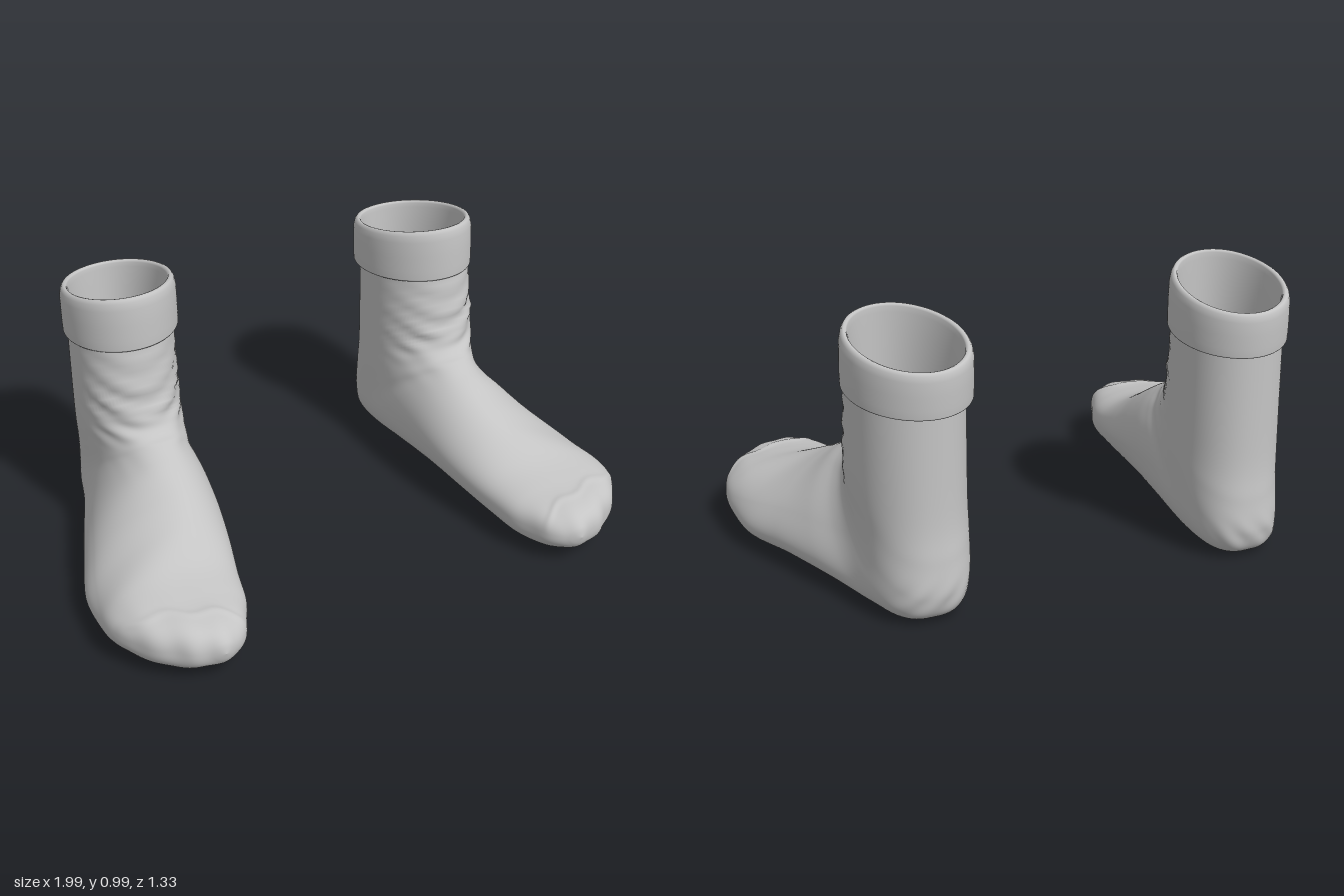
import * as THREE from 'three';

// Sections from ankle to toe: dorsal z, y, plantar z, y,
// dorsal x, plantar x, half width, pear, dorsal power, plantar power
const SECTIONS = [
  [-0.195, 0.80, -0.627, 0.78, 0.605, 0.58, 0.185, 0, 0.95, 0.95],
  [-0.155, 0.56, -0.632, 0.38, 0.605, 0.58, 0.186, 0, 0.93, 0.93],
  [-0.115, 0.49, -0.648, 0.22, 0.60, 0.577, 0.183, 0, 0.95, 0.9],
  [-0.08, 0.47, -0.656, 0.10, 0.595, 0.58, 0.18, 0, 0.95, 0.82],
  [-0.06, 0.46, -0.615, 0.02, 0.595, 0.588, 0.182, 0.03, 0.95, 0.75],
  [-0.03, 0.445, -0.48, 0.003, 0.595, 0.61, 0.193, 0.06, 0.97, 0.75],
  [0.02, 0.42, -0.28, 0.015, 0.60, 0.66, 0.214, 0.12, 1.0, 0.78],
  [0.10, 0.375, -0.05, 0.02, 0.605, 0.725, 0.234, 0.18, 1.08, 0.84],
  [0.20, 0.32, 0.15, 0.012, 0.635, 0.775, 0.248, 0.18, 1.08, 0.85],
  [0.34, 0.255, 0.34, 0.01, 0.72, 0.765, 0.246, 0.03, 0.9, 0.83],
  [0.46, 0.225, 0.47, 0.015, 0.742, 0.742, 0.218, -0.03, 0.78, 0.83],
  [0.56, 0.21, 0.57, 0.03, 0.725, 0.725, 0.155, -0.03, 0.78, 0.83],
  [0.62, 0.19, 0.63, 0.06, 0.705, 0.705, 0.095, 0, 0.85, 0.85],
  [0.653, 0.16, 0.655, 0.09, 0.69, 0.69, 0.045, 0, 0.95, 0.95],
  [0.664, 0.125, 0.664, 0.125, 0.69, 0.69, 0, 0, 0.95, 0.95],
];
const bell = (v, c, w) => Math.exp(-(((v - c) / w) ** 2));
const spow = (v, p) => Math.sign(v) * Math.abs(v) ** p;

// Catmull-Rom blend of the section rows
function sectionAt(u) {
  const n = SECTIONS.length - 1;
  const f = Math.min(u * n, n - 1e-6), i = Math.floor(f), t = f - i;
  const row = (k) => SECTIONS[Math.max(0, Math.min(n, k))];
  return row(i).map((b, k) => {
    const a = row(i - 1)[k], c = row(i + 1)[k], d = row(i + 2)[k];
    return b + 0.5 * t * (c - a + t * (2 * a - 5 * b + 4 * c - d + t * (3 * (b - c) + d - a)));
  });
}

// Closed rings joined into one smooth skin; side mirrors it across x
function loft(pointAt, rows, cols, side) {
  const pos = [], index = [];
  for (let i = 0; i <= rows; i++) {
    for (let j = 0; j < cols; j++) {
      const [x, y, z] = pointAt(i / rows, (j / cols) * Math.PI * 2);
      pos.push(x * side, y, z);
      if (i === rows) continue;
      const a = i * cols + j, b = i * cols + ((j + 1) % cols), c = a + cols, d = b + cols;
      if (side > 0) index.push(a, c, b, b, c, d);
      else index.push(a, b, c, b, d, c);
    }
  }
  const g = new THREE.BufferGeometry();
  g.setAttribute('position', new THREE.Float32BufferAttribute(pos, 3));
  g.setIndex(index);
  g.computeVertexNormals();
  return g;
}

// Fabric folds: ankle wrinkles, toe bumps, toe seam and heel pucker
function relief(x, y, z) {
  const front = THREE.MathUtils.smoothstep(z, -0.48, -0.2);
  const ankle = bell(y, 0.6, 0.12) * front * bell(z, -0.15, 0.2);
  const folds = Math.sin(y * 75 + Math.sin(x * 13) * 1.6 + z * 22) + 0.5 * Math.sin(y * 120 - x * 18);
  const toeFront = THREE.MathUtils.smoothstep(z + Math.max(0, x - 0.7) * 0.7, 0.46, 0.6);
  const toes = toeFront * bell(y, 0.13, 0.07) * Math.cos((x - 0.69) * 62);
  const seam = bell(z + (x - 0.7) * 0.35 + Math.sin(x * 40) * 0.012, 0.54, 0.014)
    * THREE.MathUtils.smoothstep(y, 0.12, 0.19);
  const heel = bell(z, -0.64, 0.05) * bell(y, 0.09, 0.05) * Math.sin(x * 70 + y * 50);
  return ankle * folds * 0.007 + toes * 0.004 + seam * 0.004 + heel * 0.003;
}

function bodyGeometry(side, lift) {
  const g = loft((u, a) => {
    const [zA, yA, zB, yB, xA, xB, w, pear, top, sole] = sectionAt(u);
    const power = Math.cos(a) < 0 ? sole : top;
    const c = spow(Math.cos(a), power), s = spow(Math.sin(a), power), t = (1 - c) / 2;
    return [
      xA + (xB - xA) * t + w * s * (1 - pear * c),
      yA + (yB - yA) * t,
      zA + (zB - zA) * t,
    ];
  }, 154, 96, side);
  const p = g.attributes.position, n = g.attributes.normal;
  for (let i = 0; i < p.count; i++) {
    const x = p.getX(i), y = p.getY(i), z = p.getZ(i);
    const d = relief(x * side, y, z);
    const up = lift * THREE.MathUtils.smoothstep(y, 0.5, 0.8);
    p.setXYZ(i, x + n.getX(i) * d, Math.max(0, y + n.getY(i) * d + up), z + n.getZ(i) * d);
  }
  g.computeVertexNormals();
  return g;
}

// Cuff profile from the inner leg lining, over the fold, to the bottom lip:
// side inset, front and back inset, height
const CUFF = [
  [0.035, 0.03, -1.5], [0.05, 0.033, -1], [0.052, 0.033, -0.5], [0.048, 0.032, 0],
  [0.04, 0.03, 0.5], [0.032, 0.029, 0.85], [0.029, 0.028, 0.95], [0.026, 0.026, 0.985],
  [0.019, 0.019, 1], [0.012, 0.012, 0.985], [0.006, 0.006, 0.93], [0.001, 0.001, 0.8],
  [0, 0, 0.5], [0, 0, 0.2], [0.001, 0.001, 0.03], [0.002, 0.002, 0.015],
  [0.004, 0.004, 0], [0.007, 0.007, 0], [0.024, 0.024, 0.015],
];
function cuffGeometry(side, lift) {
  return loft((u, a) => {
    const [insetX, insetZ, h] = CUFF[Math.round(u * (CUFF.length - 1))];
    const c = Math.cos(a), bottom = 0.748 + 0.024 * c, top = 0.925 + 0.045 * c;
    return [
      0.588 + (0.205 - insetX) * Math.sin(a) + 0.015 * c,
      bottom + (top - bottom) * h + lift,
      -0.418 - 0.006 * h + (0.237 - insetZ) * c,
    ];
  }, CUFF.length - 1, 96, side);
}

export function createModel() {
  const model = new THREE.Group();
  model.name = 'pairOfSocks';
  const fabric = new THREE.MeshStandardMaterial({ color: 0xc4c4c4, side: THREE.DoubleSide });
  fabric.name = 'greyFabric';

  // The right sock stands a little taller than the left
  for (const [name, side, lift] of [['left', 1, 0], ['right', -1, 0.027]]) {
    const sock = new THREE.Group();
    sock.name = name + 'Sock';
    const body = new THREE.Mesh(bodyGeometry(side, lift), fabric);
    body.name = name + 'SockBody';
    const cuff = new THREE.Mesh(cuffGeometry(side, lift), fabric);
    cuff.name = name + 'FoldedCuff';
    sock.add(body, cuff);
    model.add(sock);
  }
  return model;
}
